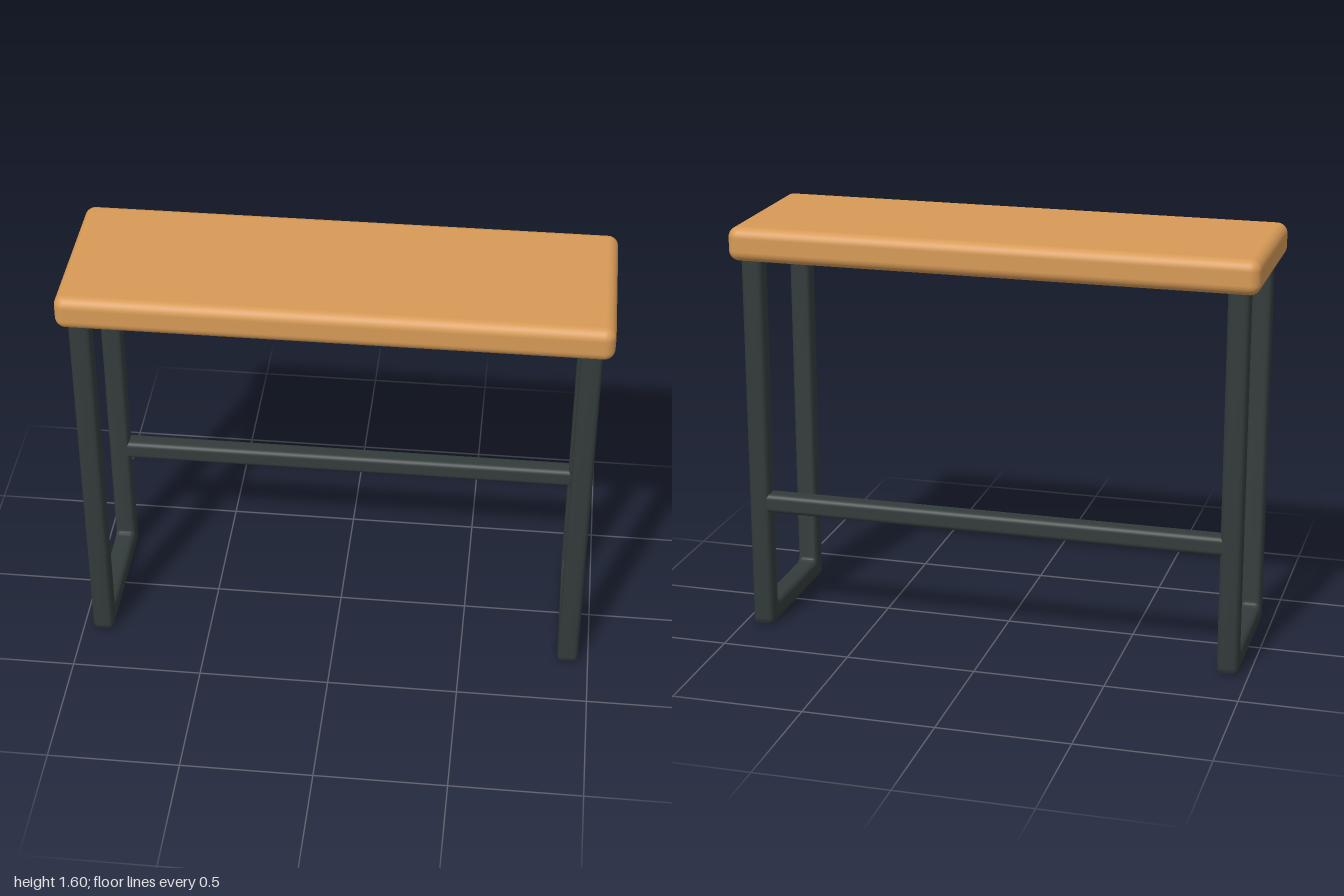
import * as THREE from 'three';
import { toCreasedNormals } from 'three/addons/utils/BufferGeometryUtils.js';
import { RoundedBoxGeometry } from 'three/addons/geometries/RoundedBoxGeometry.js';

const wood = new THREE.MeshStandardMaterial({ color: 0xd79a56 });
wood.name = 'warm wood';
const steel = new THREE.MeshStandardMaterial({ color: 0x333c3b });
steel.name = 'dark steel';

const TUBE = 0.08; // width of the square tubing
const EDGE = 0.02; // softened edge of the tubing

function part(name, geometry, material, x, y, z) {
  const mesh = new THREE.Mesh(geometry, material);
  mesh.name = name;
  mesh.position.set(x, y, z);
  return mesh;
}

// U-shaped frame: two legs joined by a floor runner, with rounded corners
function legFrameGeometry() {
  const out = 0.295, inn = out - TUBE, top = 1.5, ro = 0.03, ri = 0.02;
  const s = new THREE.Shape();
  s.moveTo(-out, top);
  s.lineTo(-out, ro);
  s.quadraticCurveTo(-out, 0, -out + ro, 0);
  s.lineTo(out - ro, 0);
  s.quadraticCurveTo(out, 0, out, ro);
  s.lineTo(out, top);
  s.lineTo(inn, top);
  s.lineTo(inn, TUBE + ri);
  s.quadraticCurveTo(inn, TUBE, inn - ri, TUBE);
  s.lineTo(-inn + ri, TUBE);
  s.quadraticCurveTo(-inn, TUBE, -inn, TUBE + ri);
  s.lineTo(-inn, top);
  s.closePath();
  const depth = TUBE - 2 * EDGE;
  const g = new THREE.ExtrudeGeometry(s, {
    depth, curveSegments: 5, bevelEnabled: true, bevelThickness: EDGE,
    bevelSize: EDGE, bevelOffset: -EDGE, bevelSegments: 4,
  });
  g.translate(0, 0, -depth / 2);
  g.rotateY(Math.PI / 2);
  return toCreasedNormals(g, 0.7);
}

export function createModel() {
  const model = new THREE.Group();
  model.name = 'bench table';

  // Thick slab top
  model.add(part('tabletop', new RoundedBoxGeometry(2, 0.13, 0.664, 5, 0.04), wood, 0, 1.535, 0));

  // Leg frames at both ends
  const frame = legFrameGeometry();
  for (const side of [1, -1]) {
    model.add(part(side > 0 ? 'leftLegFrame' : 'rightLegFrame', frame, steel, side * 0.92, 0, 0));
  }

  // Stretcher between the back legs
  model.add(part('backStretcher', new RoundedBoxGeometry(1.82, 0.075, 0.075, 4, EDGE), steel, 0, 0.508, -0.255));

  return model;
}
